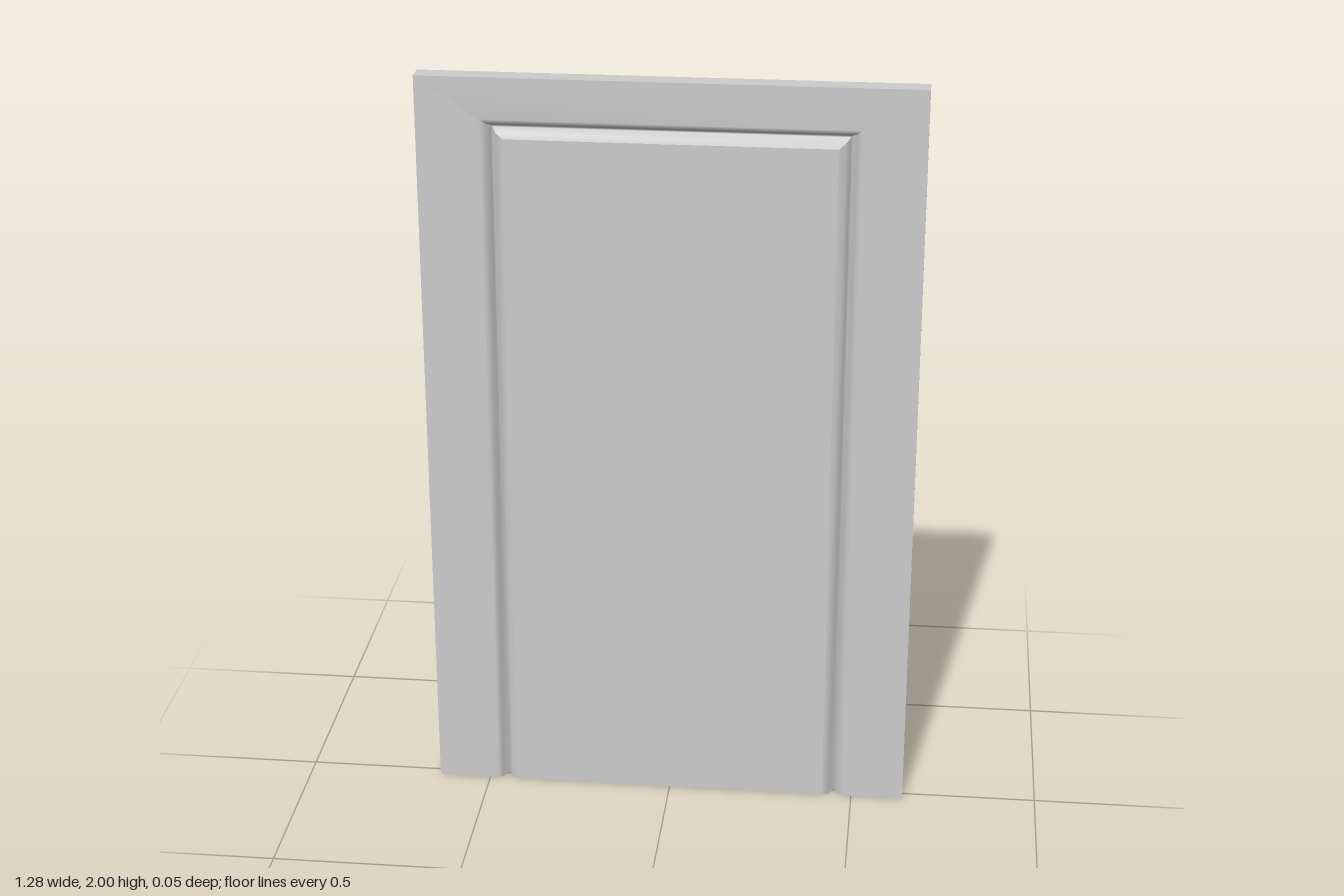
import * as THREE from 'three';

const W = 0.64, H = 2, Z = 0.027;
const material = new THREE.MeshStandardMaterial({ color: 0xcccccc, side: THREE.DoubleSide });

// Each profile entry [halfWidth, height, z] is an upside-down U, open at the floor.
const uPoints = ([w, h, z]) => [[-w, 0, z], [-w, h, z], [w, h, z], [w, 0, z]];

// One leg (0 left side, 1 top, 2 right side) swept through the profile entries
function legGeometry(profile, leg) {
  const positions = [], index = [];
  profile.forEach((entry, k) => {
    const p = uPoints(entry);
    positions.push(...p[leg], ...p[leg + 1]);
    if (k > 0) {
      const a = 2 * (k - 1), b = 2 * k;
      index.push(a, b, b + 1, a, b + 1, a + 1);
    }
  });
  const geometry = new THREE.BufferGeometry();
  geometry.setAttribute('position', new THREE.Float32BufferAttribute(positions, 3));
  geometry.setIndex(index);
  geometry.computeVertexNormals();
  return geometry;
}

function uShape(name, profile) {
  const group = new THREE.Group();
  group.name = name;
  ['RightSide', 'Top', 'LeftSide'].forEach((side, leg) => {
    const mesh = new THREE.Mesh(legGeometry(profile, leg), material);
    mesh.name = name + side;
    group.add(mesh);
  });
  return group;
}

export function createModel() {
  const model = new THREE.Group();
  model.name = 'pressedPanel';

  // Thin flanges folded back along the sides and top
  model.add(uShape('flange', [[W, H, -Z], [W, H, Z]]));

  // Flat border running into a pressed groove around the centre panel
  model.add(uShape('borderAndGroove', [
    [W, H, Z],
    [0.478, 1.892, Z],
    [0.464, 1.88, Z - 0.006],
    [0.453, 1.871, Z - 0.028],
    [0.448, 1.866, Z - 0.028],
    [0.438, 1.857, Z - 0.006],
    [0.42, 1.842, Z],
  ]));

  // Flat centre panel
  const panel = new THREE.Mesh(new THREE.PlaneGeometry(0.84, 1.842), material);
  panel.name = 'centrePanel';
  panel.position.set(0, 0.921, Z);
  model.add(panel);

  return model;
}
